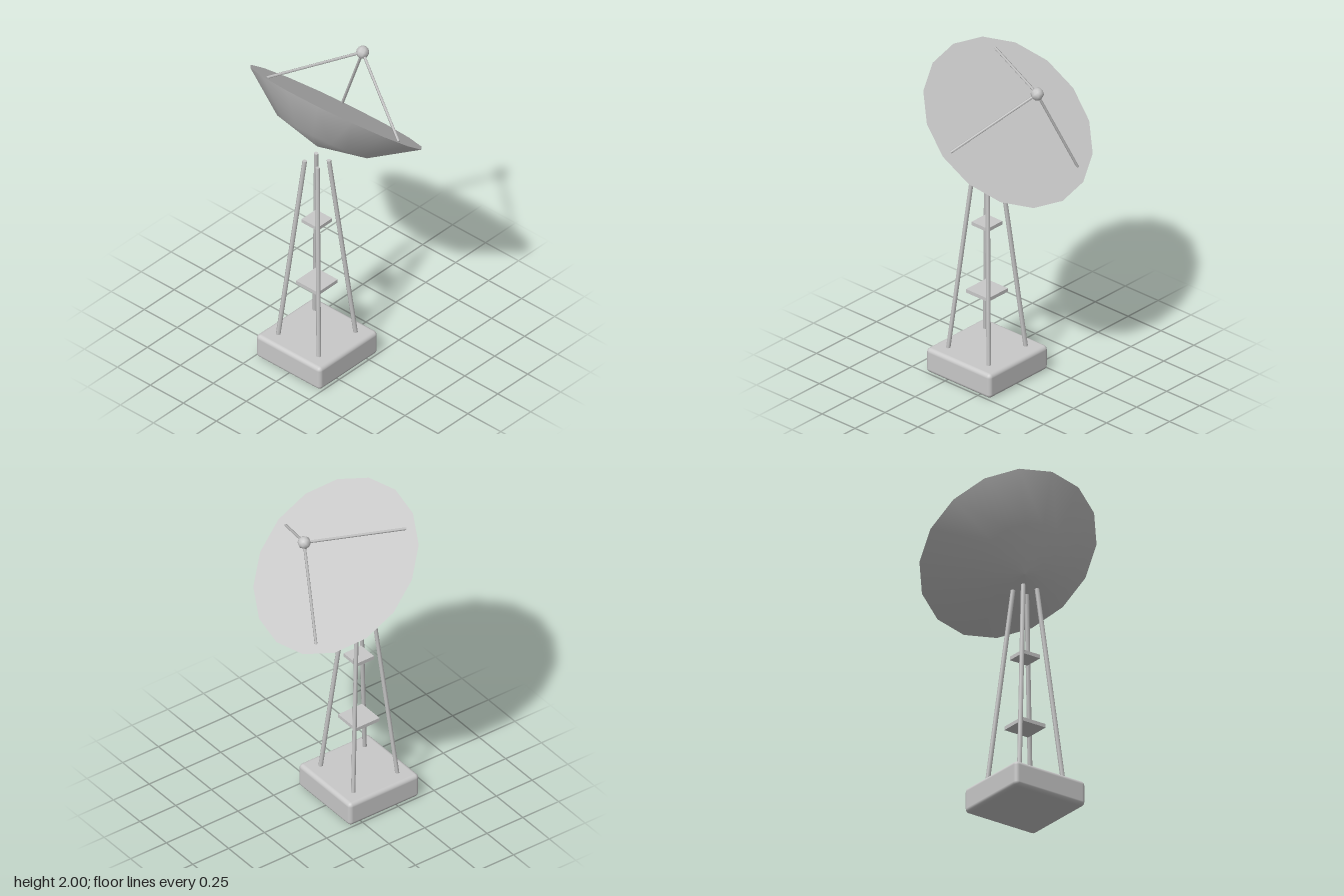
import * as THREE from 'three';
import { RoundedBoxGeometry } from 'three/addons/geometries/RoundedBoxGeometry.js';

export function createModel() {
  const model = new THREE.Group();
  const grey = new THREE.MeshStandardMaterial({ color: 0xc8c8c8 });
  grey.name = 'paintedMetal';

  const add = (parent, name, geometry, x = 0, y = 0, z = 0) => {
    const mesh = new THREE.Mesh(geometry, grey);
    mesh.name = name;
    mesh.position.set(x, y, z);
    parent.add(mesh);
    return mesh;
  };

  // Straight bar between two points
  const addBar = (parent, name, from, to, radius, sides) => {
    const dir = to.clone().sub(from);
    const bar = add(parent, name, new THREE.CylinderGeometry(radius, radius, dir.length(), sides));
    bar.position.copy(from).add(to).multiplyScalar(0.5);
    bar.quaternion.setFromUnitVectors(new THREE.Vector3(0, 1, 0), dir.normalize());
  };

  // Tower, set forward of the dish centre
  const tower = new THREE.Group();
  tower.name = 'tower';
  tower.position.z = 0.16;
  model.add(tower);
  add(tower, 'base', new RoundedBoxGeometry(0.49, 0.153, 0.49, 3, 0.025), 0, 0.0785, 0);
  for (const sx of [-1, 1]) {
    for (const sz of [-1, 1]) {
      addBar(tower, 'leg',
        new THREE.Vector3(sx * 0.155, 0.14, sz * 0.155),
        new THREE.Vector3(sx * 0.048, 1.365, sz * 0.048), 0.0135, 6);
    }
  }
  add(tower, 'lowerPlatform', new THREE.BoxGeometry(0.166, 0.022, 0.166), 0, 0.514, 0);
  add(tower, 'upperPlatform', new THREE.BoxGeometry(0.122, 0.022, 0.122), 0, 0.945, 0);

  // Dish, tilted up and backwards
  const dish = new THREE.Group();
  dish.name = 'dish';
  dish.position.y = 1.65;
  dish.rotation.x = -0.7;
  model.add(dish);
  const profile = [[0, -0.245], [0.285, -0.18], [0.543, 0]].map(([r, y]) => new THREE.Vector2(r, y));
  add(dish, 'bowl', new THREE.LatheGeometry(profile, 16));
  add(dish, 'dishFace', new THREE.CircleGeometry(0.543, 16).rotateX(-Math.PI / 2));

  // Receiver held by three struts
  const focus = new THREE.Vector3(0, 0.345, 0);
  add(dish, 'receiver', new THREE.SphereGeometry(0.038, 8, 6), 0, focus.y, 0);
  for (let i = 0; i < 3; i++) {
    const a = (i * Math.PI * 2) / 3;
    addBar(dish, 'strut', new THREE.Vector3(0.475 * Math.cos(a), 0, 0.475 * Math.sin(a)), focus, 0.0085, 5);
  }
  return model;
}
